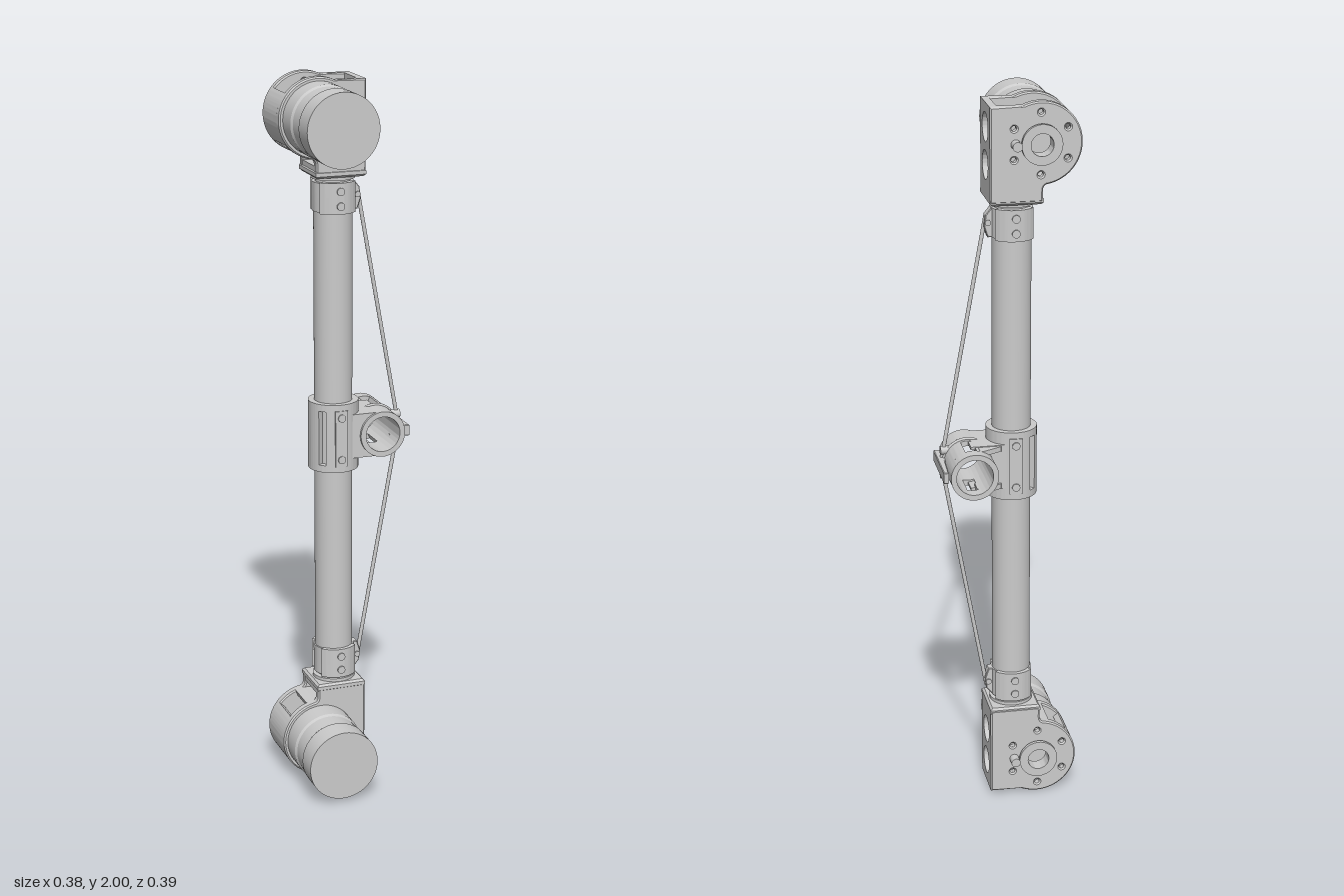
import * as THREE from 'three';
import { toCreasedNormals } from 'three/addons/utils/BufferGeometryUtils.js';

const material = new THREE.MeshStandardMaterial({ color: 0xcccccc });
const CX = -0.016, CZ = -0.07;        // main tube axis
const HX = -0.079, HY = 1.89;         // drive axis in the upper joint
const RX = 0.107, RY = 1.0;           // cross sleeve axis
const rad = THREE.MathUtils.degToRad;

function add(group, name, geometry, x = 0, y = 0, z = 0) {
  const mesh = new THREE.Mesh(geometry, material);
  mesh.name = name;
  mesh.geometry.translate(x, y, z);
  group.add(mesh);
  return mesh;
}

function extrude(shape, depth, bevel = 0) {
  const g = new THREE.ExtrudeGeometry(shape, {
    depth: depth - 2 * bevel, curveSegments: 32, bevelEnabled: bevel > 0,
    bevelSize: bevel, bevelThickness: bevel, bevelOffset: -bevel, bevelSegments: 1,
  });
  return toCreasedNormals(g.translate(0, 0, bevel), 0.5);
}

// Ring sector in the XY plane, angles in degrees
function sector(r0, r1, a, b) {
  const s = new THREE.Shape();
  s.absarc(0, 0, r1, rad(a), rad(b), false);
  s.absarc(0, 0, r0, rad(b), rad(a), true);
  s.closePath();
  return s;
}

function polygon(points) {
  return new THREE.Shape(points.map(([x, y]) => new THREE.Vector2(x, y)));
}

function hole(shape, x, y, r) {
  shape.holes.push(new THREE.Path().absarc(x, y, r, 0, Math.PI * 2, true));
}

const upright = (g) => g.rotateX(-Math.PI / 2);
const cylZ = (r, h, n = 24) => new THREE.CylinderGeometry(r, r, h, n).rotateX(Math.PI / 2);
const cylX = (r, h, n = 20) => new THREE.CylinderGeometry(r, r, h, n).rotateZ(Math.PI / 2);

// Profile of [radius, height] pairs turned around y with crisp corners
function lathe(points) {
  return toCreasedNormals(new THREE.LatheGeometry(points.map(([r, y]) => new THREE.Vector2(r, y)), 48), 0.4);
}

// Rounded outline of the joint housing, around the drive axis
function plateShape() {
  const s = new THREE.Shape();
  s.moveTo(0.134, -0.155);
  s.lineTo(0.134, 0.099);
  s.lineTo(0.048, 0.099);
  s.absarc(0, 0, 0.11, rad(64), rad(262), false);
  s.quadraticCurveTo(-0.006, -0.113, -0.006, -0.125);
  s.lineTo(-0.006, -0.155);
  s.closePath();
  return s;
}

function buildJoint() {
  const g = new THREE.Group();

  // Housing: two cheeks, a curved wall, a lower wall and a pierced side wall
  add(g, 'frontCheek', extrude(plateShape(), 0.026, 0.004), HX, HY, -0.029);
  const back = plateShape();
  hole(back, 0, 0, 0.035);
  for (let i = 0; i < 6; i++) {
    const a = rad(30 + i * 60);
    hole(back, 0.082 * Math.cos(a), 0.082 * Math.sin(a), 0.007);
  }
  add(g, 'backCheek', extrude(back, 0.026, 0.004), HX, HY, -0.145);
  add(g, 'curvedWall', extrude(sector(0.092, 0.11, 141, 220), 0.1), HX, HY, -0.124);
  add(g, 'lowerCurvedWall', extrude(sector(0.092, 0.11, 251, 285), 0.1), HX, HY, -0.124);
  add(g, 'housingFloor', new THREE.BoxGeometry(0.138, 0.025, 0.1), HX + 0.064, HY - 0.142, -0.074);
  const side = polygon([[-0.05, -0.15], [0.05, -0.15], [0.05, 0.099], [-0.05, 0.099]]);
  hole(side, 0, 0.034, 0.039);
  hole(side, 0, -0.066, 0.039);
  add(g, 'piercedSideWall', extrude(side, 0.02).rotateY(Math.PI / 2), 0.035, HY, -0.074);

  // Drive unit with a waist
  add(g, 'motor', lathe([[0, 0], [0.0995, 0], [0.0995, 0.063], [0.095, 0.07], [0.095, 0.122],
    [0.0995, 0.13], [0.0995, 0.198], [0, 0.198]]).rotateX(Math.PI / 2), HX, HY, -0.003);

  // Output ring and locating pin on the back
  add(g, 'outputRing', lathe([[0.03, -0.026], [0.03, 0.018], [0.054, 0.018], [0.054, 0.008],
    [0.045, 0.006], [0.045, -0.026], [0.03, -0.026]].reverse()).rotateX(-Math.PI / 2), HX, HY, -0.145);
  add(g, 'locatingPin', cylZ(0.013, 0.03), -0.012, HY, -0.159);

  // Neck between housing and tube
  add(g, 'baseFlange', extrude(polygon([[-0.071, -0.071], [0.071, -0.071], [0.071, 0.071], [-0.071, 0.071]]),
    0.022, 0.006).rotateX(-Math.PI / 2), CX, 1.728, -0.073);
  add(g, 'neck', lathe([[0, 0], [0.056, 0], [0.056, 0.013], [0.048, 0.015], [0.048, 0.022],
    [0.06, 0.024], [0.06, 0.04], [0, 0.04]]), CX, 1.695, CZ);

  // Clamp shells on the front and back of the tube end, with screws
  for (const s of [1, -1]) {
    const a = s > 0 ? 218 : 38;
    add(g, 'endClampShell', upright(extrude(sector(0.05, 0.065, a, a + 104), 0.085)), CX, 1.628, CZ);
    for (const y of [1.65, 1.69])
      add(g, 'clampScrew', cylZ(0.011, 0.012, 16), CX, y, CZ + s * 0.063);
  }
  add(g, 'endClampRing', lathe([[0.05, 0], [0.057, 0], [0.057, 0.08], [0.05, 0.08]]), CX, 1.63, CZ);

  // Bracing rod and its lug
  add(g, 'rodLug', extrude(polygon([[0.03, 1.63], [0.05, 1.63], [0.06, 1.66], [0.056, 1.69], [0.04, 1.71],
    [0.03, 1.71]]), 0.028, 0.002), 0, 0, CZ - 0.014);
  add(g, 'rodPin', cylZ(0.008, 0.036, 16), 0.05, 1.67, CZ);
  const path = new THREE.LineCurve3(new THREE.Vector3(0.054, 1.685, CZ), new THREE.Vector3(0.178, 1.0, CZ));
  add(g, 'bracingRod', new THREE.TubeGeometry(path, 1, 0.0055, 12));
  return g;
}

// Reflected copy about y = 1, with face order kept outward
function mirrored(group) {
  const out = new THREE.Group();
  for (const m of group.children) {
    const g = m.geometry.clone().scale(1, -1, 1).translate(0, 2, 0);
    const index = g.index ? [...g.index.array] : [...Array(g.attributes.position.count).keys()];
    g.setIndex(index.reverse());
    add(out, m.name, g);
  }
  return out;
}

function buildCentreClamp() {
  const g = new THREE.Group();
  g.name = 'centreClamp';

  // Slotted shell around the tube
  for (const [a, b] of [[-126, 126], [144, 216]])
    add(g, 'clampShell', upright(extrude(sector(0.052, 0.07, a, b), 0.195)), CX, 0.9025, CZ);
  for (const [a, b] of [[126, 144], [216, 234]])
    for (const y of [0.9025, 1.0775])
      add(g, 'slotEnd', upright(extrude(sector(0.052, 0.07, a, b), 0.02)), CX, y, CZ);
  for (const s of [1, -1]) {
    add(g, 'seamStrip', new THREE.BoxGeometry(0.036, 0.16, 0.012), CX, 1, CZ + s * 0.066);
    for (const y of [0.94, 1.06])
      add(g, 'clampScrew', cylZ(0.011, 0.01, 16), CX, y, CZ + s * 0.071);
  }

  // Arm shaped to meet the cross sleeve, with a tapered rear gusset
  const arm = new THREE.Shape();
  arm.moveTo(-0.1, -0.063);
  arm.lineTo(0, -0.063);
  arm.absarc(0, 0, 0.055, rad(270), rad(90), true);
  arm.lineTo(0, 0.063);
  arm.lineTo(-0.1, 0.063);
  arm.closePath();
  add(g, 'arm', extrude(arm, 0.125), RX, RY, -0.135);
  for (const s of [1, -1])
    add(g, 'gusset', upright(extrude(polygon([[0.015, 0.12], [0.095, 0.12], [0.095, 0.165], [0.075, 0.165],
      [0.025, 0.14]]), 0.014)), 0, RY + s * 0.054 - 0.007, 0);

  // Cross sleeve, open through its length, with a slot above and below
  for (const [z0, z1, slotted] of [[-0.2, -0.165, 0], [-0.165, -0.09, 1], [-0.09, -0.002, 0]])
    for (const k of [0, 180]) {
      const half = slotted ? 72 : 90;
      add(g, 'sleeveWall', extrude(sector(0.05, 0.065, k - half, k + half), z1 - z0), RX, RY, z0);
    }
  add(g, 'sleeveRib', new THREE.TorusGeometry(0.065, 0.005, 10, 48), RX, RY, -0.075);

  // Outer fin, tapered along its length, holding the rods
  add(g, 'outerFin', upright(extrude(polygon([[0.16, 0.015], [0.19, 0.015], [0.19, 0.19], [0.177, 0.19],
    [0.172, 0.1], [0.16, 0.08]]), 0.032, 0.002)), 0, RY - 0.016, 0);
  for (const y of [0.965, 1.035])
    add(g, 'rodAnchor', cylX(0.012, 0.03), 0.165, y, CZ);
  add(g, 'finScrew', cylX(0.01, 0.012), 0.184, RY, -0.1);
  return g;
}

export function createModel() {
  const model = new THREE.Group();
  model.name = 'robotArmLink';
  add(model, 'mainTube', new THREE.CylinderGeometry(0.053, 0.053, 1.41, 48), CX, 1, CZ);
  const upper = buildJoint();
  upper.name = 'upperJoint';
  const lower = mirrored(upper);
  lower.name = 'lowerJoint';
  model.add(upper, lower, buildCentreClamp());
  return model;
}
